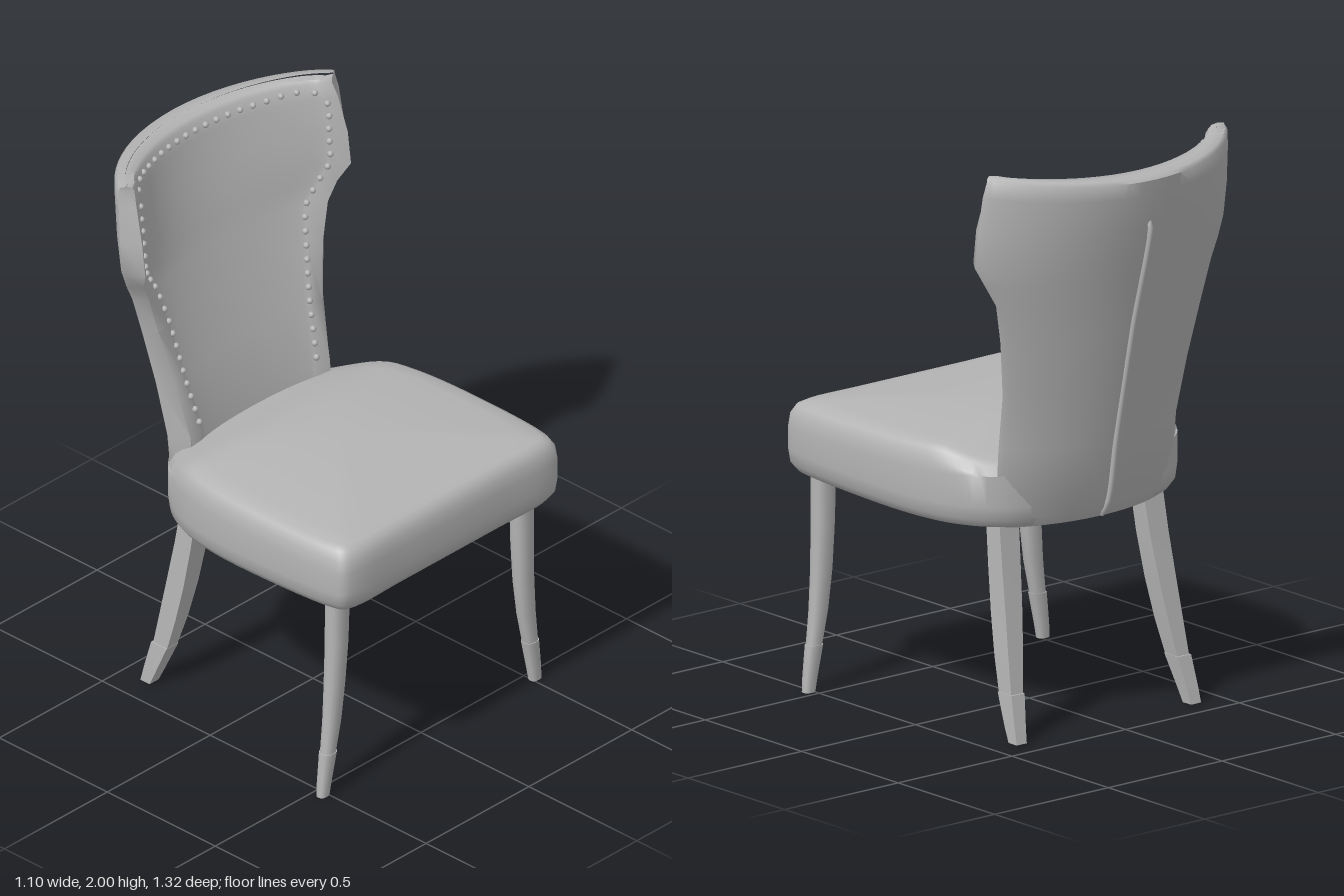
import * as THREE from 'three';
import { toCreasedNormals } from 'three/addons/utils/BufferGeometryUtils.js';

const grey = new THREE.MeshStandardMaterial({ color: 0xb4b4b4 });
grey.name = 'grey upholstery';

// Skin over rings of [x, y, z] points, listed from bottom to top
function loft(rings, crease) {
  const n = rings[0].length, index = [];
  for (let i = 0; i < rings.length - 1; i++) {
    for (let j = 0; j < n; j++) {
      const a = i * n + j, b = i * n + (j + 1) % n;
      index.push(a, b, a + n, b, b + n, a + n);
    }
  }
  const g = new THREE.BufferGeometry();
  g.setAttribute('position', new THREE.Float32BufferAttribute(rings.flat(2), 3));
  g.setIndex(index);
  return toCreasedNormals(g, crease);
}

function add(parent, name, geometry) {
  const mesh = new THREE.Mesh(geometry, grey);
  mesh.name = name;
  parent.add(mesh);
  return mesh;
}

// Backrest sections: y, half width, back z, side z, wing tip x, z, panel edge x, z, panel centre z
const SECTIONS = [
  [0.72, 0.34, -0.375, -0.28, 0.30, -0.23, 0.26, -0.24, -0.26],
  [0.76, 0.385, -0.40, -0.28, 0.33, -0.22, 0.28, -0.23, -0.26],
  [1.0, 0.39, -0.445, -0.30, 0.34, -0.245, 0.28, -0.25, -0.285],
  [1.2, 0.405, -0.49, -0.34, 0.36, -0.30, 0.31, -0.305, -0.34],
  [1.4, 0.44, -0.53, -0.37, 0.40, -0.335, 0.34, -0.345, -0.40],
  [1.54, 0.472, -0.562, -0.385, 0.435, -0.345, 0.37, -0.38, -0.44],
  [1.61, 0.51, -0.58, -0.375, 0.47, -0.335, 0.42, -0.37, -0.46],
  [1.68, 0.545, -0.597, -0.36, 0.50, -0.30, 0.45, -0.35, -0.475],
  [1.8, 0.545, -0.625, -0.375, 0.50, -0.315, 0.455, -0.355, -0.51],
  [1.93, 0.535, -0.652, -0.39, 0.49, -0.35, 0.45, -0.37, -0.54],
  [1.985, 0.525, -0.66, -0.40, 0.48, -0.37, 0.44, -0.395, -0.555],
];

function sectionAt(y) {
  let i = 0;
  while (i < SECTIONS.length - 2 && SECTIONS[i + 1][0] < y) i++;
  const a = SECTIONS[i], b = SECTIONS[i + 1];
  return a.map((v, k) => THREE.MathUtils.lerp(v, b[k], (y - a[0]) / (b[0] - a[0])));
}

// Bowed line: z at x, from the edge value to the centre value
const bow = (x, half, edge, centre) =>
  edge + (centre - edge) * Math.pow(Math.max(0, 1 - (x / half) ** 2), 0.8);

function backRing([y, w, zb, zs, xt, zt, xi, zi, zc]) {
  const M = 28, ring = [];
  const sag = 0.03 * THREE.MathUtils.smoothstep(y, 1.6, 1.98);
  const put = (x, z) => ring.push([x, y - sag * (1 - (x / w) ** 2), z]);
  for (let j = 0; j <= M; j++) {
    const x = w * Math.cos(Math.PI * j / M);
    put(x, bow(x, w, zs, zb));
  }
  put(-xt, zt);
  for (let j = 0; j <= M - 2; j++) {
    const x = -xi * Math.cos(Math.PI * j / (M - 2));
    put(x, bow(x, xi, zi, zc));
  }
  put(xt, zt);
  return ring;
}

// Pull a ring toward its own centre line, to round off the end
const pinch = (ring, t, rise) => ring.map((p, j) => {
  const q = ring[ring.length - 1 - j];
  return [p[0] + (q[0] - p[0]) * t, p[1] + rise, p[2] + (q[2] - p[2]) * t];
});

function buildBackrest() {
  const rings = SECTIONS.map(backRing);
  const top = rings[rings.length - 1];
  rings.push(pinch(top, 0.12, 0.013), pinch(top, 0.5, 0.015));
  rings.unshift(pinch(rings[0], 0.5, 0));
  return loft(rings, 0.9);
}

function buildSeat() {
  const half = [[0.25, 0.655], [0.47, 0.655], [0.52, 0.637], [0.537, 0.59], [0.55, 0.3],
    [0.535, 0], [0.49, -0.17], [0.40, -0.29], [0.28, -0.35]];
  const pts = [[0, 0.655], ...half, [0, -0.37], ...half.slice().reverse().map(([x, z]) => [-x, z])];
  const outline = new THREE.CatmullRomCurve3(pts.map(([x, z]) => new THREE.Vector3(x, 0, z)), true)
    .getPoints(120).slice(0, -1);
  const cz = 0.14;
  // Each row: height, scale of the outline
  const rows = [[0.75, 0], [0.75, 0.9], [0.757, 0.955], [0.785, 0.99], [0.83, 1], [0.91, 1],
    [0.955, 0.99], [0.985, 0.96], [0.997, 0.92], [1.004, 0.82], [1.014, 0.62], [1.024, 0.4],
    [1.028, 0.2], [1.03, 0]];
  return loft(rows.map(([y, s]) => outline.map(p => {
    const z = cz + (p.z - cz) * s;
    // underside slopes down and the top edge dips toward the back
    const under = y < 0.9 ? -0.03 * (0.62 - z) / 0.9 : 0;
    const dip = y > 0.94 ? -0.05 * THREE.MathUtils.smoothstep(-z, 0.08, 0.3) : 0;
    return [p.x * s, y + under + dip, z];
  })), 0.8);
}

// Leg sections: y, centre x, centre z, width, depth
const FRONT_LEG = [[0.155, 0.492, 0.537, 0.054, 0.046], [0.28, 0.472, 0.537, 0.066, 0.054],
  [0.42, 0.459, 0.537, 0.074, 0.062], [0.58, 0.451, 0.539, 0.079, 0.07], [0.8, 0.447, 0.54, 0.084, 0.074]];
const FRONT_CUFF = [[0, 0.515, 0.537, 0.046, 0.036], [0.05, 0.509, 0.537, 0.051, 0.042],
  [0.162, 0.491, 0.537, 0.061, 0.052]];
const REAR_LEG = [[0.155, 0.366, -0.337, 0.052, 0.066], [0.28, 0.352, -0.309, 0.066, 0.076],
  [0.42, 0.338, -0.282, 0.076, 0.08], [0.58, 0.325, -0.255, 0.084, 0.076], [0.8, 0.312, -0.225, 0.09, 0.07]];
const REAR_CUFF = [[0, 0.383, -0.392, 0.046, 0.044], [0.05, 0.379, -0.375, 0.05, 0.055],
  [0.162, 0.366, -0.338, 0.06, 0.074]];

function buildLeg(rows, side, sides, roundness) {
  const rings = rows.map(([y, cx, cz, w, d]) => Array.from({ length: sides }, (_, j) => {
    const a = (j + 0.5) / sides * Math.PI * 2, c = Math.cos(a), s = Math.sin(a);
    const k = Math.pow(Math.abs(c) ** roundness + Math.abs(s) ** roundness, -1 / roundness);
    return [side * cx + c * k * w / 2, y, cz - s * k * d / 2];
  }));
  const point = ([y, cx, cz]) => Array.from({ length: sides }, () => [side * cx, y, cz]);
  return loft([point(rows[0]), ...rings, point(rows[rows.length - 1])], 0.7);
}

function buildNails(parent) {
  const group = new THREE.Group();
  group.name = 'nailheads';
  parent.add(group);
  const half = [[0.285, 1.03], [0.3, 1.15], [0.318, 1.3], [0.338, 1.43], [0.365, 1.54],
    [0.41, 1.61], [0.446, 1.68], [0.452, 1.8], [0.452, 1.915], [0.425, 1.948], [0.25, 1.937]];
  const pts = [...half, [0, 1.93], ...half.slice().reverse().map(([x, y]) => [-x, y])];
  const path = new THREE.CatmullRomCurve3(pts.map(([x, y]) => new THREE.Vector3(x, y, 0)));
  const head = new THREE.SphereGeometry(0.0115, 8, 6);
  for (const p of path.getSpacedPoints(58)) {
    const s = sectionAt(p.y + 0.03 * THREE.MathUtils.smoothstep(p.y, 1.6, 1.98) * (1 - (p.x / 0.53) ** 2));
    const z = bow(p.x, s[6], s[7], s[8]);
    add(group, 'nailhead', head).position.set(p.x, p.y, z + 0.003);
  }
}

export function createModel() {
  const model = new THREE.Group();
  model.name = 'diningChair';
  add(model, 'seat', buildSeat());
  add(model, 'backrest', buildBackrest());
  buildNails(model);

  // Raised seam down the middle of the back
  const seam = new THREE.CatmullRomCurve3([[1.81, -0.618], [1.79, -0.63], [1.4, -0.537],
    [1.0, -0.452], [0.77, -0.408], [0.725, -0.375]].map(([y, z]) => new THREE.Vector3(0, y, z)));
  add(model, 'backSeam', new THREE.TubeGeometry(seam, 32, 0.01, 8));

  for (const side of [1, -1]) {
    const name = side > 0 ? 'left' : 'right';
    add(model, name + 'FrontLeg', buildLeg(FRONT_LEG, side, 16, 2.8));
    add(model, name + 'FrontCuff', buildLeg(FRONT_CUFF, side, 16, 2.8));
    add(model, name + 'RearLeg', buildLeg(REAR_LEG, side, 4, 20));
    add(model, name + 'RearCuff', buildLeg(REAR_CUFF, side, 4, 20));
  }
  return model;
}
